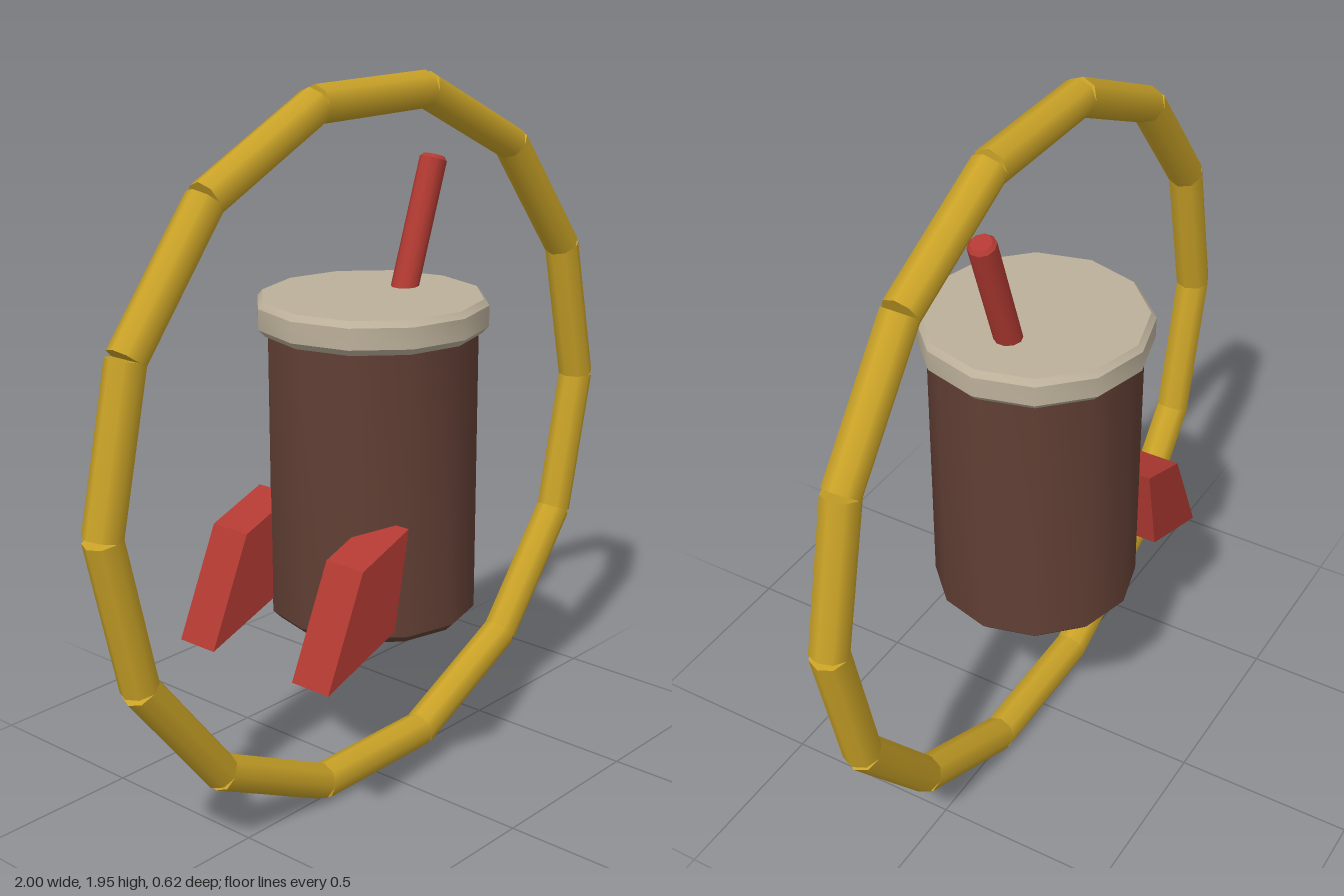
import * as THREE from 'three';
import { toCreasedNormals } from 'three/addons/utils/BufferGeometryUtils.js';

function material(name, color) {
  const m = new THREE.MeshStandardMaterial({ color });
  m.name = name;
  return m;
}

export function createModel() {
  const model = new THREE.Group();
  model.name = 'cupInRing';
  const gold = material('gold', 0xc9a227);
  const brown = material('brown', 0x613f34);
  const cream = material('cream', 0xbcb09a);
  const red = material('red', 0xb23a32);

  const add = (name, geometry, mat, parent = model) => {
    const mesh = new THREE.Mesh(geometry, mat);
    mesh.name = name;
    parent.add(mesh);
    return mesh;
  };
  // Turned part with bevelled edges, smooth around and creased at the bevels
  const turned = (profile, sides) => toCreasedNormals(
    new THREE.LatheGeometry(profile.map(([r, y]) => new THREE.Vector2(r, y)), sides), 0.7);

  // Ring of straight, square-cut tube segments
  const ring = new THREE.Group();
  ring.name = 'ring';
  ring.position.y = 0.976;
  model.add(ring);
  const count = 14, radius = 0.95, half = Math.PI / count;
  const segment = new THREE.CylinderGeometry(0.05, 0.05, 2 * radius * Math.sin(half), 8);
  for (let i = 0; i < count; i++) {
    const a = (2 * i + 1) * half, apothem = radius * Math.cos(half);
    const mesh = add('ringSegment', segment, gold, ring);
    mesh.position.set(apothem * Math.cos(a), apothem * Math.sin(a), 0);
    mesh.rotation.z = a;
  }

  // Cup and lid
  add('cup', turned([[0, 0.51], [0.262, 0.51], [0.283, 0.531], [0.283, 1.32], [0, 1.32]], 12), brown);
  add('lid', turned([[0, 1.3], [0.293, 1.3], [0.31, 1.318], [0.31, 1.374], [0.296, 1.39], [0, 1.39]], 12), cream);

  // Leaning straw with a bevelled tip
  const base = new THREE.Vector3(0.12, 1.35, 0), tip = new THREE.Vector3(0.252, 1.725, 0);
  const length = base.distanceTo(tip);
  const straw = add('straw', turned(
    [[0, 0], [0.037, 0], [0.037, length - 0.01], [0.028, length], [0, length]], 10), red);
  straw.position.copy(base);
  straw.rotation.z = -Math.atan2(tip.x - base.x, tip.y - base.y);

  // Pair of swept fins
  const outline = new THREE.Shape([[-0.473, 0.487], [-0.217, 0.578], [-0.163, 0.845], [-0.34, 0.78]]
    .map(([x, y]) => new THREE.Vector2(x, y)));
  const finGeometry = new THREE.ExtrudeGeometry(outline, { depth: 0.124, bevelEnabled: false });
  finGeometry.translate(0, 0, -0.062);
  for (const side of [1, -1]) {
    add(side > 0 ? 'frontFin' : 'backFin', finGeometry, red).position.z = side * 0.204;
  }

  return model;
}
